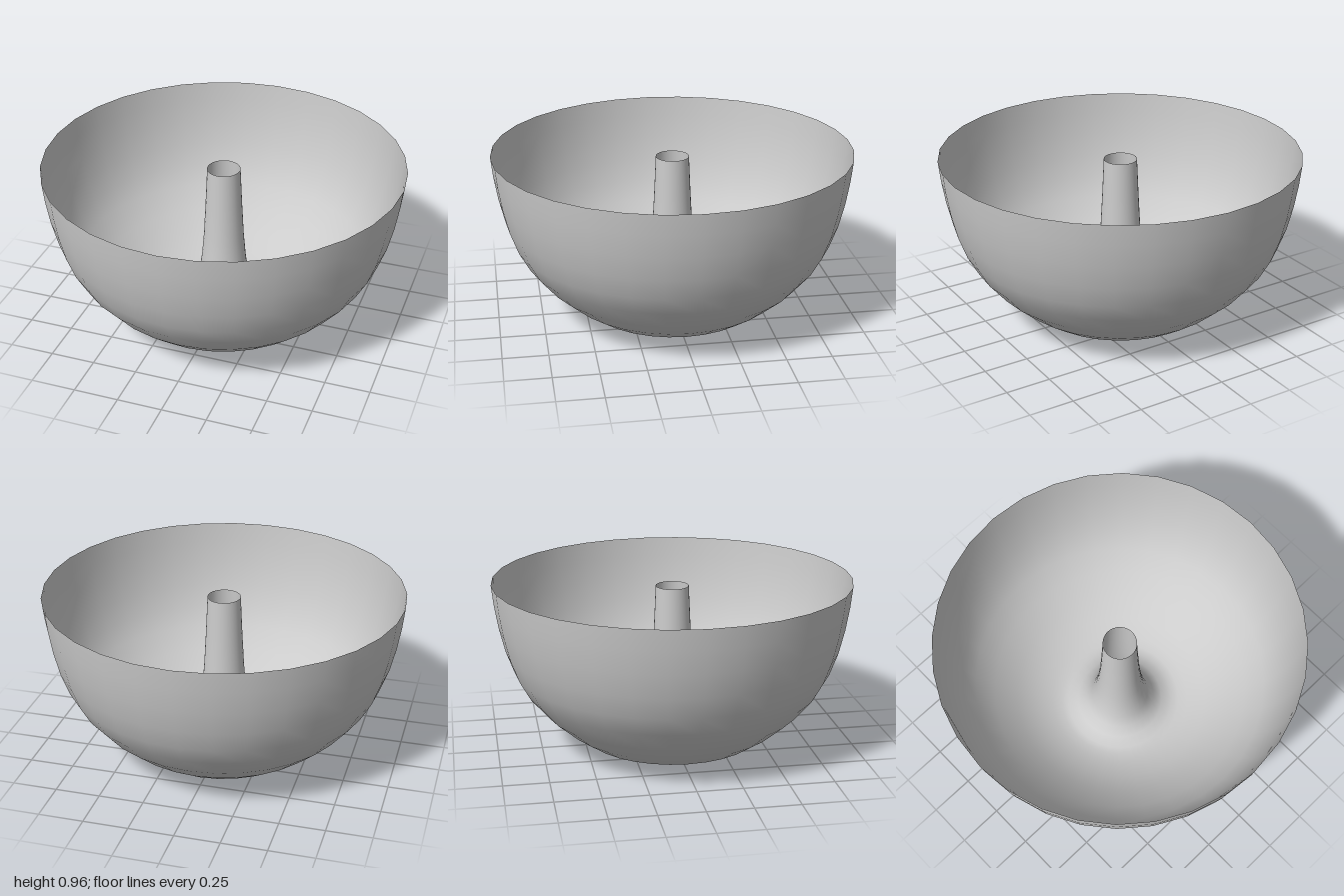
import * as THREE from 'three';

export function createModel() {
  const group = new THREE.Group();
  group.name = 'ringBowl';
  const material = new THREE.MeshStandardMaterial({ color: 0xcccccc, side: THREE.DoubleSide });

  // One thin wall: down the hollow centre tube, around the foot, up to the open rim
  const profile = [
    [0.092, 0.92], [0.102, 0.7], [0.113, 0.5], [0.125, 0.36], [0.14, 0.25],
    [0.165, 0.14], [0.2, 0.065], [0.25, 0.02], [0.31, 0], [0.35, 0.003],
    [0.405, 0.013], [0.505, 0.053], [0.61, 0.125], [0.73, 0.23], [0.83, 0.35],
    [0.89, 0.46], [0.935, 0.585], [0.967, 0.72], [0.988, 0.85], [1, 0.965],
  ].map(([r, y]) => new THREE.Vector2(r, y));

  const bowl = new THREE.Mesh(new THREE.LatheGeometry(profile, 32), material);
  bowl.name = 'bowlWithCentreTube';
  group.add(bowl);
  return group;
}
